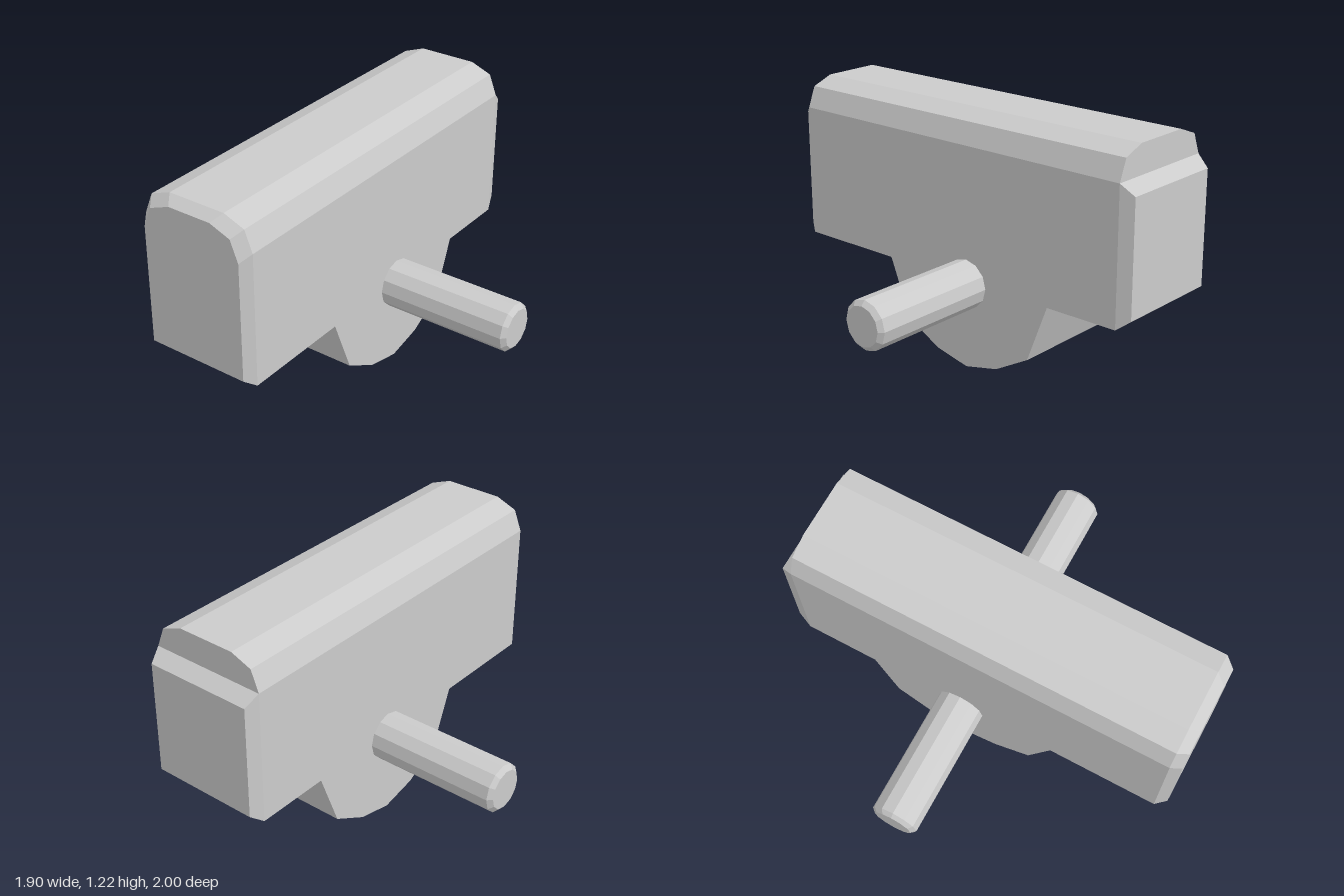
import * as THREE from 'three';

const material = new THREE.MeshStandardMaterial({ color: 0xcccccc, flatShading: true });

// Capped solid through rings of [x, y] points (counter-clockwise from +z), listed front to back.
function loft(sections) {
  const positions = [], index = [];
  const n = sections[0].ring.length;
  for (const { z, ring } of sections) {
    for (const [x, y] of ring) positions.push(x, y, z);
  }
  for (let s = 0; s < sections.length - 1; s++) {
    for (let j = 0; j < n; j++) {
      const a = s * n + j, b = s * n + (j + 1) % n;
      index.push(a, a + n, b, b, a + n, b + n);
    }
  }
  const last = (sections.length - 1) * n;
  for (let j = 1; j < n - 1; j++) {
    index.push(0, j, j + 1, last, last + j + 1, last + j);
  }
  const geometry = new THREE.BufferGeometry();
  geometry.setAttribute('position', new THREE.Float32BufferAttribute(positions, 3));
  geometry.setIndex(index);
  const flat = geometry.toNonIndexed();
  flat.computeVertexNormals();
  return flat;
}

// Mirrors the right-hand half of a section to close the ring.
function mirrored(half) {
  return [...half, ...half.map(([x, y]) => [-x, y]).reverse()];
}

export function createModel() {
  const group = new THREE.Group();
  const add = (name, geometry) => {
    const mesh = new THREE.Mesh(geometry, material);
    mesh.name = name;
    group.add(mesh);
    return mesh;
  };

  // Long body with a rounded top and a bevelled front
  const full = mirrored([[0.29, 0.43], [0.29, 1.08], [0.25, 1.18], [0.145, 1.22]]);
  const inset = mirrored([[0.255, 0.465], [0.255, 1.045], [0.215, 1.145], [0.11, 1.185]]);
  add('body', loft([
    { z: 1, ring: inset },
    { z: 0.95, ring: full },
    { z: -0.935, ring: full },
  ]));

  // Raised bevelled panel on the back
  add('backPanel', loft([
    { z: -0.935, ring: mirrored([[0.29, 0.43], [0.29, 1.08]]) },
    { z: -1, ring: mirrored([[0.268, 0.48], [0.268, 1.03]]) },
  ]));

  // Faceted lug under the body, flush with its sides
  const lugShape = new THREE.Shape([
    [-0.4, 0.43], [-0.285, 0.145], [-0.1, 0.042], [0.085, 0],
    [0.27, 0.042], [0.455, 0.145], [0.565, 0.43],
  ].map(([x, y]) => new THREE.Vector2(x, y)));
  const lug = new THREE.ExtrudeGeometry(lugShape, { depth: 0.58, bevelEnabled: false });
  lug.translate(0, 0, -0.29).rotateY(Math.PI / 2);
  add('lug', lug);

  // Cross pin with chamfered ends
  const pinProfile = [[0, -0.95], [0.095, -0.95], [0.118, -0.93], [0.118, 0.93], [0.095, 0.95], [0, 0.95]]
    .map(([r, y]) => new THREE.Vector2(r, y));
  const pin = add('crossPin', new THREE.LatheGeometry(pinProfile, 12).rotateZ(Math.PI / 2));
  pin.position.set(0, 0.42, -0.087);

  return group;
}
